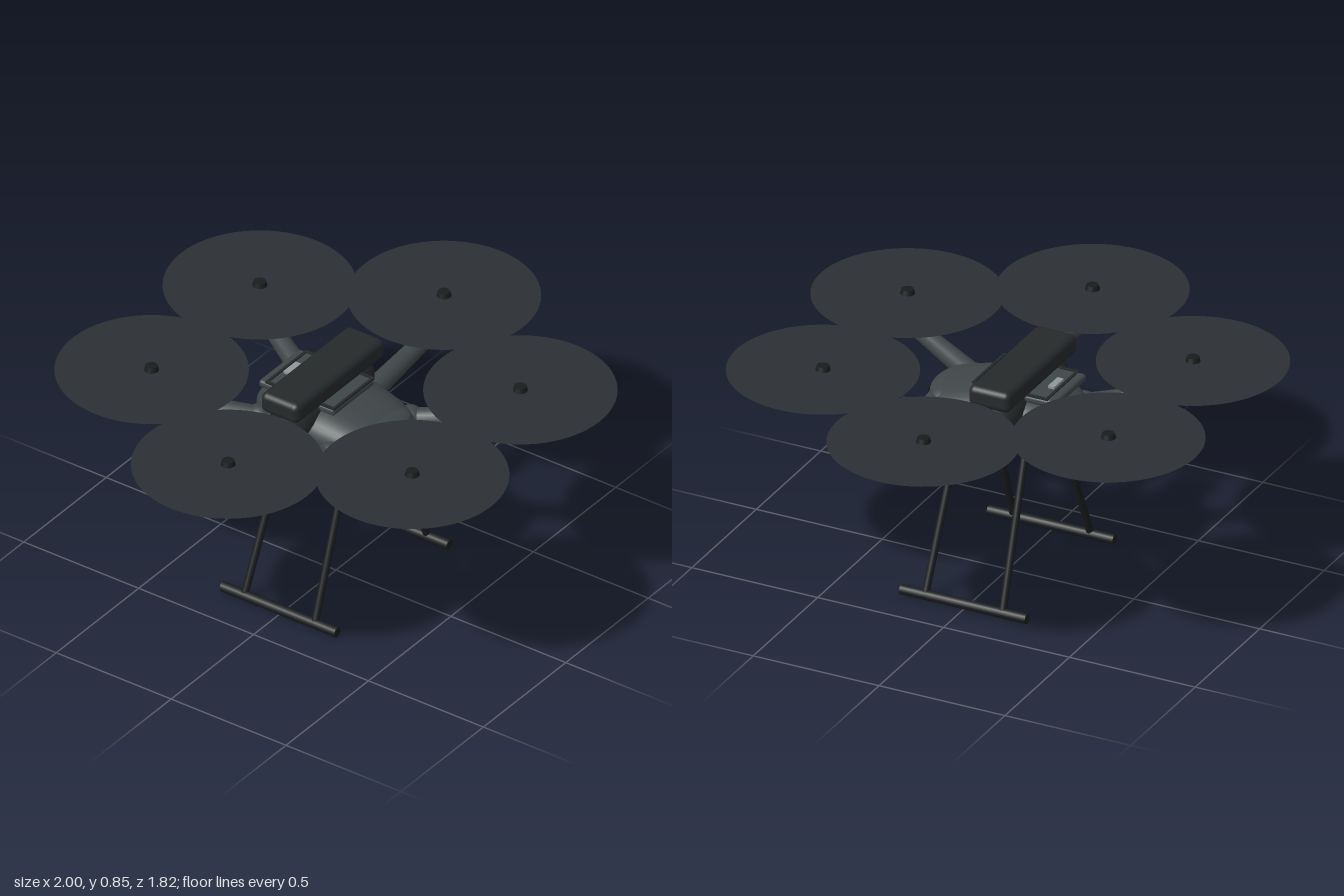
import * as THREE from 'three';
import { RoundedBoxGeometry } from 'three/addons/geometries/RoundedBoxGeometry.js';

const mat = (color, side = THREE.FrontSide) => new THREE.MeshStandardMaterial({ color, side });
const V = (x, y, z) => new THREE.Vector3(x, y, z);

// Closed hull through superellipse sections [z, halfWidth, bottom, top], front to back
function loft(sections, power, n = 40) {
  const pos = [], idx = [];
  const bend = (v) => Math.sign(v) * Math.abs(v) ** (2 / power);
  for (const [z, w, b, t] of sections) {
    for (let j = 0; j < n; j++) {
      const a = (j / n) * Math.PI * 2;
      pos.push(w * bend(Math.cos(a)), (b + t) / 2 + ((t - b) / 2) * bend(Math.sin(a)), z);
    }
  }
  for (let i = 0; i < sections.length - 1; i++) {
    for (let j = 0; j < n; j++) {
      const k = (j + 1) % n, a = i * n + j, b = i * n + k;
      idx.push(a, a + n, b, b, a + n, b + n);
    }
  }
  const g = new THREE.BufferGeometry();
  g.setAttribute('position', new THREE.Float32BufferAttribute(pos, 3));
  g.setIndex(idx);
  g.computeVertexNormals();
  return g;
}

export function createModel() {
  const model = new THREE.Group();
  model.name = 'hexacopter';
  const shell = mat(0x3f4648), dark = mat(0x25292b), black = mat(0x191b1d);
  const silver = mat(0x92979a), glass = mat(0x14181c);
  const disc = mat(0x2c3034, THREE.DoubleSide);

  const add = (name, geo, material, x = 0, y = 0, z = 0, parent = model) => {
    const m = new THREE.Mesh(geo, material);
    m.name = name;
    m.position.set(x, y, z);
    parent.add(m);
    return m;
  };
  // Tapered round bar from a to b
  const bar = (name, a, b, ra, rb, material, sides = 16) => {
    const d = b.clone().sub(a);
    const m = add(name, new THREE.CylinderGeometry(rb, ra, d.length(), sides), material);
    m.position.copy(a).addScaledVector(d, 0.5);
    m.quaternion.setFromUnitVectors(V(0, 1, 0), d.normalize());
    return m;
  };

  // Body hull
  add('body', loft([
    [0.285, 0.002, 0.639, 0.641], [0.285, 0.1, 0.6, 0.675], [0.265, 0.128, 0.58, 0.7],
    [0.22, 0.157, 0.56, 0.725], [0.16, 0.18, 0.55, 0.742], [0.06, 0.197, 0.542, 0.765],
    [-0.04, 0.198, 0.54, 0.77], [-0.14, 0.185, 0.547, 0.77], [-0.2, 0.163, 0.556, 0.76],
    [-0.25, 0.125, 0.575, 0.735], [-0.285, 0.085, 0.6, 0.7], [-0.3, 0.06, 0.625, 0.675],
    [-0.3, 0.002, 0.649, 0.651],
  ], 2.7), shell);

  // Nose: wide dark visor with a small brow above it
  const visor = add('visor', new THREE.SphereGeometry(1, 32, 16), glass, 0, 0.668, 0.245);
  visor.scale.set(0.115, 0.037, 0.052);
  const brow = add('noseBrow', new THREE.SphereGeometry(1, 32, 16), shell, 0, 0.695, 0.2);
  brow.scale.set(0.14, 0.035, 0.085);
  const chin = add('noseChin', new THREE.SphereGeometry(1, 32, 16), shell, 0, 0.625, 0.235);
  chin.scale.set(0.105, 0.035, 0.06);

  // Top hatch with raised rim and status window
  add('topHatch', new RoundedBoxGeometry(0.25, 0.03, 0.33, 3, 0.012), shell, 0, 0.767, -0.085);
  for (const s of [-1, 1]) {
    add('hatchRail', new THREE.BoxGeometry(0.01, 0.008, 0.3), dark, s * 0.118, 0.783, -0.07);
    add('hatchEdge', new THREE.BoxGeometry(0.24, 0.008, 0.01), dark, 0, 0.783, -0.07 + s * 0.145);
  }
  add('statusWindow', new THREE.BoxGeometry(0.075, 0.012, 0.025), silver, 0, 0.785, -0.19);

  // Crosswise battery pack resting on a rounded cradle
  add('batteryPack', new RoundedBoxGeometry(0.54, 0.08, 0.165, 4, 0.024), dark, 0, 0.81, -0.058);
  const cradleProfile = [[0, -0.24], [0.05, -0.235], [0.076, -0.21], [0.085, -0.17],
    [0.085, 0.17], [0.076, 0.21], [0.05, 0.235], [0, 0.24]].map(([r, h]) => new THREE.Vector2(r, h));
  add('batteryCradle', new THREE.LatheGeometry(cradleProfile, 28), dark, 0, 0.725, -0.058)
    .rotation.z = Math.PI / 2;

  // Arms: [motor x, motor z, root x, root z]
  const arms = [
    [0.655, 0, 0.14, 0], [-0.655, 0, -0.14, 0.13],
    [0.328, 0.567, 0.14, 0.17], [-0.328, 0.567, -0.14, 0.17],
    [0.328, -0.567, 0.125, -0.19], [-0.328, -0.567, -0.125, -0.19],
  ];
  for (const [x, z, rx, rz] of arms) {
    const root = V(rx, 0.635, rz), tip = V(x, 0.705, z);
    bar('arm', root, tip, 0.043, 0.03, shell);
    const knuckle = root.clone().lerp(tip, 0.1);
    add('armKnuckle', new THREE.SphereGeometry(0.052, 20, 14), shell, knuckle.x, knuckle.y, knuckle.z);

    // Motor and rotor
    const rotor = new THREE.Group();
    rotor.name = 'rotorUnit';
    rotor.position.set(x, 0, z);
    model.add(rotor);
    add('motorMount', new THREE.CylinderGeometry(0.059, 0.056, 0.066, 32), black, 0, 0.709, 0, rotor);
    add('motorBell', new THREE.CylinderGeometry(0.059, 0.063, 0.054, 32), silver, 0, 0.768, 0, rotor);
    add('rotorShaft', new THREE.CylinderGeometry(0.022, 0.022, 0.03, 20), black, 0, 0.802, 0, rotor);
    add('rotorHub', new THREE.CylinderGeometry(0.022, 0.028, 0.022, 20), black, 0, 0.82, 0, rotor);
    add('rotorDisc', new THREE.CircleGeometry(0.344, 72), disc, 0, 0.813, 0, rotor)
      .rotation.x = -Math.PI / 2;
    for (const s of [-1, 1]) {
      const blade = add('rotorBlade', new THREE.BoxGeometry(0.31, 0.004, 0.045), black,
        s * 0.17, 0.809, 0, rotor);
      blade.rotation.x = s * 0.05;
    }
  }

  // Landing gear
  for (const s of [-1, 1]) {
    for (const f of [-1, 1]) {
      bar('landingLeg', V(s * 0.12, 0.575, f * 0.133), V(s * 0.34, 0.025, f * 0.153), 0.014, 0.014, black);
    }
    bar('landingSkid', V(s * 0.34, 0.019, -0.25), V(s * 0.34, 0.019, 0.25), 0.019, 0.019, black);
  }

  // Camera gimbal under the nose
  bar('gimbalNeck', V(0, 0.5, 0.2), V(0, 0.58, 0.2), 0.03, 0.042, black, 20);
  add('cameraBall', new THREE.SphereGeometry(0.08, 32, 24), black, 0, 0.446, 0.213);
  bar('lensBarrel', V(0, 0.446, 0.25), V(0, 0.446, 0.297), 0.052, 0.047, dark, 32);
  add('lensRing', new THREE.TorusGeometry(0.036, 0.005, 10, 32), silver, 0, 0.446, 0.296);
  const lens = add('lens', new THREE.SphereGeometry(0.034, 24, 12), glass, 0, 0.446, 0.295);
  lens.scale.z = 0.25;

  return model;
}
